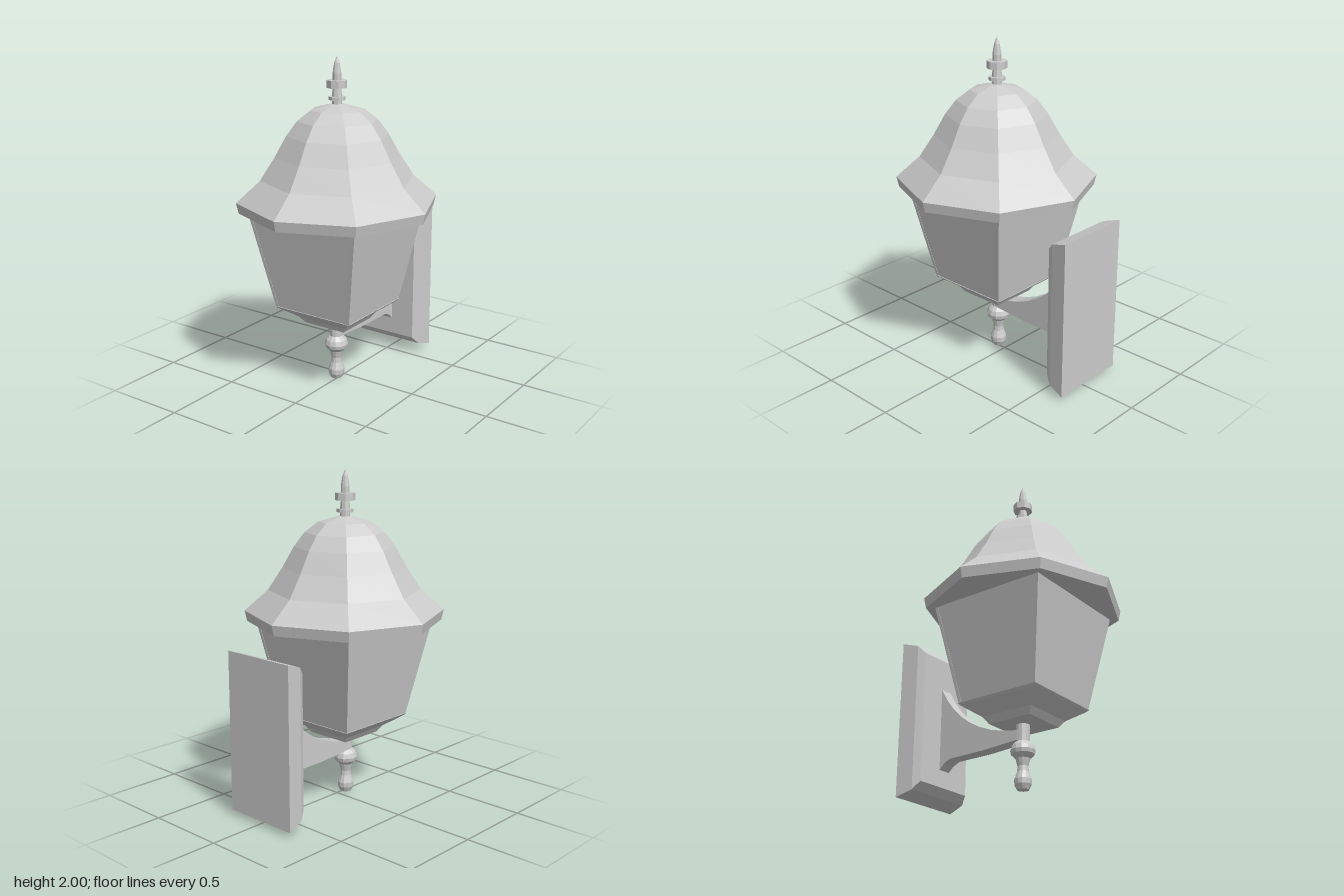
import * as THREE from 'three';

const material = new THREE.MeshStandardMaterial({ color: 0xcccccc, flatShading: true });
const AXIS_Z = 0.066;

function addMesh(parent, name, geometry) {
  const flat = geometry.index ? geometry.toNonIndexed() : geometry;
  flat.computeVertexNormals();
  const mesh = new THREE.Mesh(flat, material);
  mesh.name = name;
  parent.add(mesh);
  return mesh;
}

// Turned part from [radius, y] pairs, bottom to top
function turned(profile, sides) {
  return new THREE.LatheGeometry(profile.map(([r, y]) => new THREE.Vector2(r, y)), sides);
}

// Closed solid through rectangular sections [y, halfWidth, halfDepth], bottom to top
function rectLoft(sections) {
  const positions = [], index = [];
  for (const [y, w, d] of sections) {
    positions.push(w, y, d, w, y, -d, -w, y, -d, -w, y, d);
  }
  for (let s = 0; s < sections.length - 1; s++) {
    for (let i = 0; i < 4; i++) {
      const a = s * 4 + i, b = s * 4 + (i + 1) % 4;
      index.push(a, b, b + 4, a, b + 4, a + 4);
    }
  }
  const t = (sections.length - 1) * 4;
  index.push(0, 3, 2, 0, 2, 1, t, t + 1, t + 2, t, t + 2, t + 3);
  const geometry = new THREE.BufferGeometry();
  geometry.setAttribute('position', new THREE.Float32BufferAttribute(positions, 3));
  geometry.setIndex(index);
  return geometry;
}

export function createModel() {
  const model = new THREE.Group();
  model.name = 'wallLantern';

  const lantern = new THREE.Group();
  lantern.name = 'lantern';
  lantern.position.z = AXIS_Z;
  model.add(lantern);

  // Eight-sided bell roof with a short lip
  addMesh(lantern, 'roof', turned([
    [0, 1.1], [0.565, 1.1], [0.588, 1.095], [0.602, 1.158], [0.46, 1.285], [0.372, 1.42],
    [0.302, 1.545], [0.238, 1.63], [0.157, 1.692], [0.05, 1.722], [0, 1.73],
  ], 8));

  // Spike, collar and ring on top of the roof
  addMesh(lantern, 'topFinial', turned([
    [0.03, 1.71], [0.03, 1.748], [0.05, 1.748], [0.05, 1.768], [0.03, 1.768], [0.025, 1.818],
    [0.06, 1.818], [0.06, 1.862], [0.026, 1.862], [0.026, 1.9], [0.016, 1.96], [0, 2],
  ], 8)).position.x = -0.004;

  // Tapered glass body
  addMesh(lantern, 'glassBody', rectLoft([[0.5, 0.266, 0.266], [1.1, 0.378, 0.374]]));

  // Thin posts along the four corners
  for (const sx of [-1, 1]) {
    for (const sz of [-1, 1]) {
      const foot = new THREE.Vector3(sx * 0.258, 0.5, sz * 0.258);
      const head = new THREE.Vector3(sx * 0.37, 1.1, sz * 0.366);
      const post = addMesh(lantern, 'cornerPost',
        new THREE.CylinderGeometry(0.014, 0.014, foot.distanceTo(head), 4).rotateY(Math.PI / 4));
      post.position.copy(foot).add(head).multiplyScalar(0.5);
      post.quaternion.setFromUnitVectors(new THREE.Vector3(0, 1, 0), head.sub(foot).normalize());
    }
  }

  // Stepped tray below the glass
  addMesh(lantern, 'tray', rectLoft([
    [0.385, 0.143, 0.143], [0.425, 0.17, 0.17], [0.49, 0.262, 0.262], [0.502, 0.272, 0.272],
  ]));

  // Turned stem and drop
  addMesh(lantern, 'bottomFinial', turned([
    [0, 0], [0.035, 0.005], [0.049, 0.035], [0.05, 0.065], [0.034, 0.11], [0.031, 0.14],
    [0.042, 0.185], [0.068, 0.21], [0.073, 0.232], [0.064, 0.26], [0.04, 0.285], [0.04, 0.39],
  ], 12)).position.x = -0.012;

  // Curved bracket arm, drawn in (z, y) and extruded across x
  const side = new THREE.Shape();
  side.moveTo(0.06, 0.345);
  side.quadraticCurveTo(-0.35, 0.39, -0.52, 0.735);
  side.lineTo(-0.52, 0.21);
  side.lineTo(-0.48, 0.248);
  side.lineTo(-0.434, 0.27);
  side.lineTo(-0.2, 0.272);
  side.lineTo(0.06, 0.288);
  side.closePath();
  const arm = new THREE.ExtrudeGeometry(side, { depth: 0.085, bevelEnabled: false, curveSegments: 8 });
  arm.translate(0, 0, -0.0425).rotateY(-Math.PI / 2);
  addMesh(model, 'bracketArm', arm).position.x = -0.015;

  // Bevelled wall plate
  const plate = rectLoft([
    [-0.664, 0.245, 0.485], [-0.557, 0.228, 0.451], [-0.514, 0.203, 0.403],
  ]).rotateX(Math.PI / 2);
  addMesh(model, 'wallPlate', plate).position.set(-0.017, 0.514, 0);

  return model;
}
